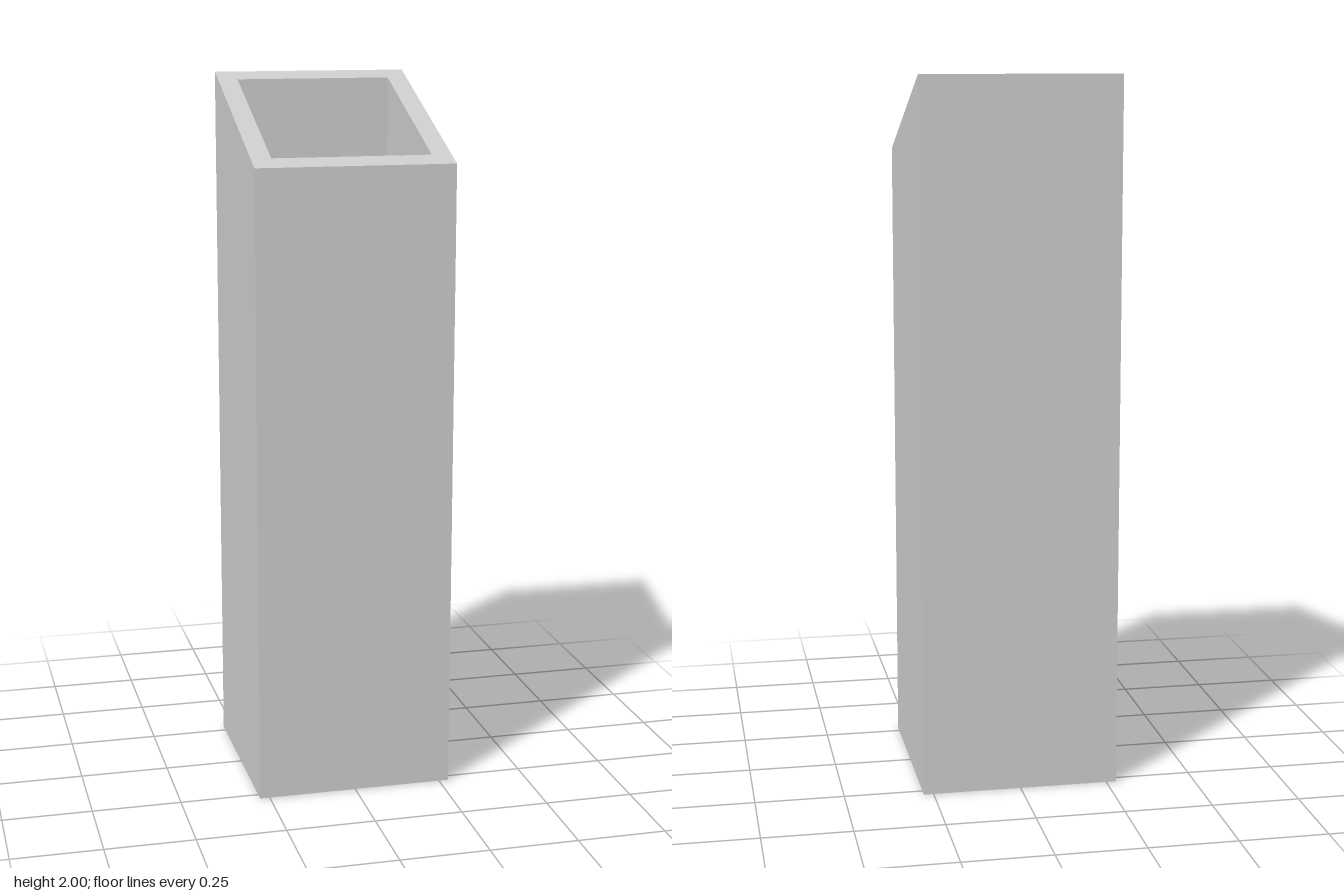
import * as THREE from 'three';

const FLOOR_Y = 1.69;
const rimY = (z) => 1.889 - 0.4 * z; // sloping top: high at the back, low at the front

// Four corners, counter-clockwise seen from above; height may depend on z
const loop = (x, zBack, zFront, height) =>
  [[x, zFront], [x, zBack], [-x, zBack], [-x, zFront]].map(([px, pz]) => [px, height(pz), pz]);

// Hollow-topped pillar: up the outside, across the rim, down into the recess
function pillarGeometry() {
  const loops = [
    loop(0.278, -0.278, 0.278, () => 0),
    loop(0.278, -0.278, 0.278, rimY),
    loop(0.222, -0.229, 0.227, rimY),
    loop(0.222, -0.229, 0.227, () => FLOOR_Y),
  ];
  const pos = [];
  const quad = (a, b, c, d) => pos.push(...a, ...b, ...c, ...a, ...c, ...d);
  for (let k = 0; k < loops.length - 1; k++) {
    for (let i = 0; i < 4; i++) {
      const j = (i + 1) % 4;
      quad(loops[k][i], loops[k][j], loops[k + 1][j], loops[k + 1][i]);
    }
  }
  const [a, b, c, d] = loops[0];
  quad(a, d, c, b); // underside
  const geometry = new THREE.BufferGeometry();
  geometry.setAttribute('position', new THREE.Float32BufferAttribute(pos, 3));
  geometry.computeVertexNormals();
  return geometry;
}

export function createModel() {
  const group = new THREE.Group();
  const grey = new THREE.MeshStandardMaterial({ color: 0xcccccc, flatShading: true });
  const slate = new THREE.MeshStandardMaterial({ color: 0x97979d });

  const add = (name, geometry, material, x = 0, y = 0, z = 0) => {
    const mesh = new THREE.Mesh(geometry, material);
    mesh.name = name;
    mesh.position.set(x, y, z);
    group.add(mesh);
  };

  add('pillar', pillarGeometry(), grey);

  // Panel at the bottom of the recess
  add('recessFloor', new THREE.PlaneGeometry(0.444, 0.456).rotateX(-Math.PI / 2), slate, 0, FLOOR_Y, -0.001);

  // Two small blocks standing on the panel
  const block = new THREE.BoxGeometry(0.11, 0.055, 0.111);
  [['rightBlock', -0.14], ['middleBlock', 0]].forEach(([name, x]) =>
    add(name, block, grey, x, FLOOR_Y + 0.0275, -0.145));

  return group;
}
